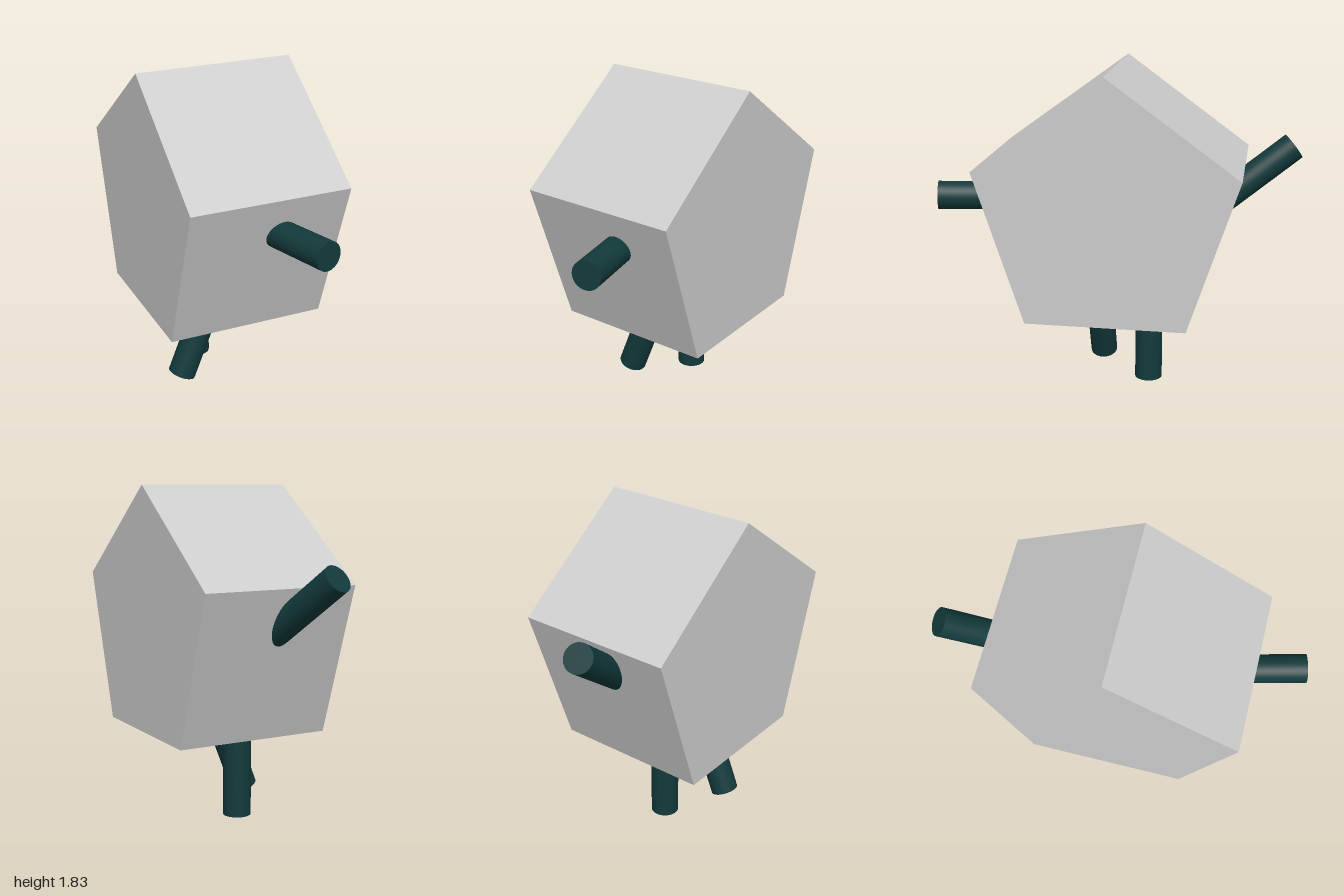
import * as THREE from 'three';

export function createModel() {
  const model = new THREE.Group();
  const shell = new THREE.MeshStandardMaterial({ color: 0xcccccc });
  shell.name = 'light grey';
  const limb = new THREE.MeshStandardMaterial({ color: 0x133a3b });
  limb.name = 'dark teal';

  // Body: a regular pentagonal prism lying along x, one corner up
  const radius = 0.742, width = 0.88;
  const pentagon = new THREE.Shape();
  for (let i = 0; i < 5; i++) {
    const a = Math.PI / 2 + (i * Math.PI * 2) / 5;
    const x = Math.cos(a) * radius, y = Math.sin(a) * radius;
    if (i === 0) pentagon.moveTo(x, y);
    else pentagon.lineTo(x, y);
  }
  pentagon.closePath();
  const bodyGeometry = new THREE.ExtrudeGeometry(pentagon, { depth: width, bevelEnabled: false });
  bodyGeometry.translate(0, 0, -width / 2);
  bodyGeometry.rotateY(Math.PI / 2);
  const body = new THREE.Mesh(bodyGeometry, shell);
  body.name = 'body';
  body.position.set(0, 1.084, 0.008);
  model.add(body);

  // Limbs: round rods running from inside the body to their tips
  const up = new THREE.Vector3(0, 1, 0);
  function addLimb(name, from, to) {
    const start = new THREE.Vector3(...from), end = new THREE.Vector3(...to);
    const direction = end.clone().sub(start);
    const mesh = new THREE.Mesh(new THREE.CylinderGeometry(0.078, 0.078, direction.length(), 32), limb);
    mesh.name = name;
    mesh.position.copy(start).add(end).multiplyScalar(0.5);
    mesh.quaternion.setFromUnitVectors(up, direction.normalize());
    model.add(mesh);
  }
  addLimb('frontLeg', [-0.03, 0.64, 0.125], [-0.257, 0.06, 0.125]);
  addLimb('backLeg', [-0.041, 0.65, -0.174], [-0.041, 0, -0.174]);
  addLimb('frontArm', [0.05, 1.09, 0.5], [0.167, 1.107, 0.981]);
  addLimb('backArm', [-0.015, 1.0, -0.46], [-0.148, 1.38, -0.951]);

  return model;
}
